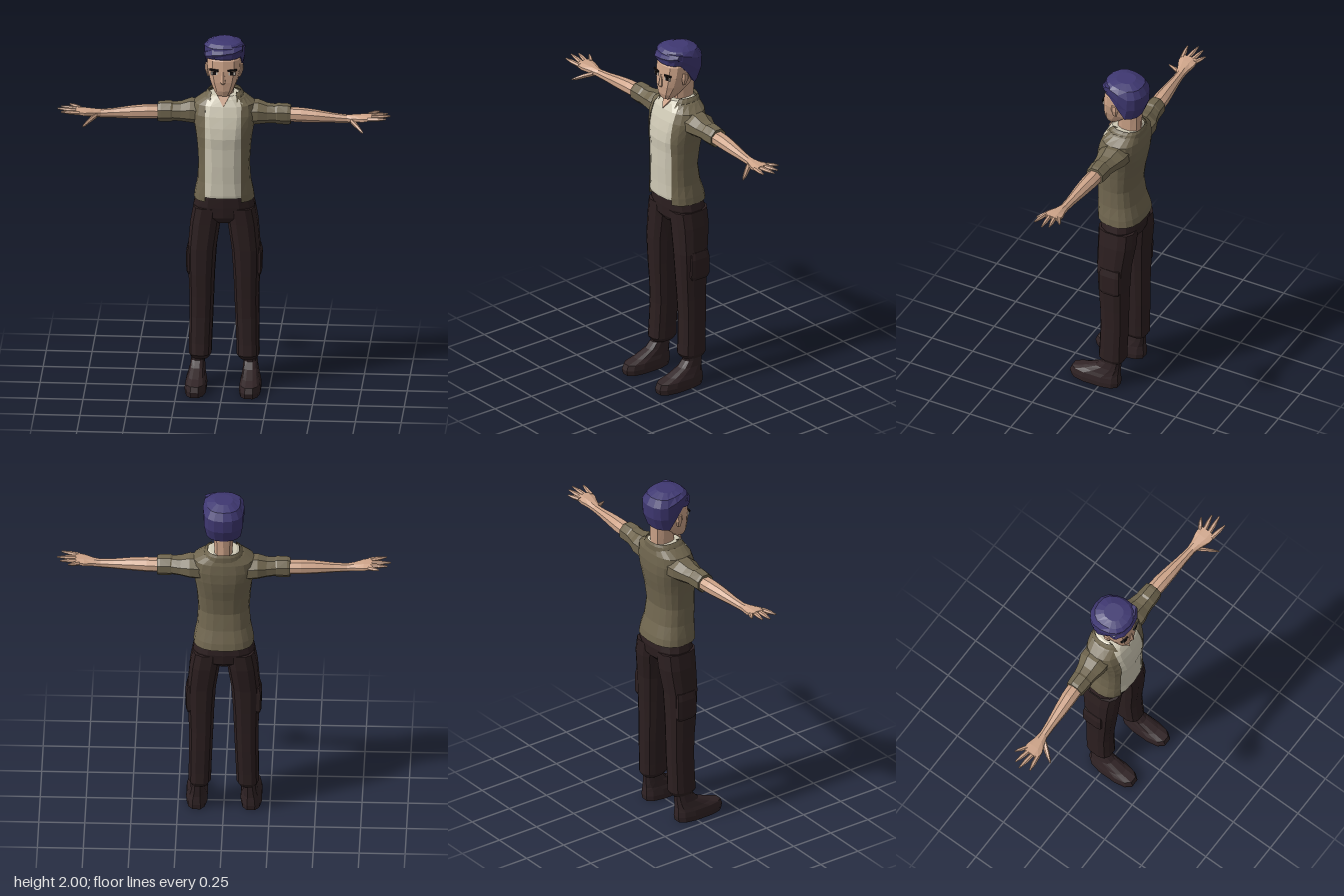
import * as THREE from 'three';

const paint = (name, color, side = THREE.FrontSide) => {
  const m = new THREE.MeshStandardMaterial({ color, side });
  m.name = name;
  return m;
};

// Rounded-box curve helper
const pw = (v, p) => Math.sign(v) * Math.abs(v) ** p;

// Horizontal cross-section, starting at the front and turning towards +x
function ringY([y, x0, x1, zf, zb], n = 12, p = 0.8, off = 0) {
  return Array.from({ length: n }, (_, i) => {
    const a = ((i + off) / n) * Math.PI * 2;
    return new THREE.Vector3((x0 + x1) / 2 + ((x1 - x0) / 2) * pw(Math.sin(a), p), y,
      (zf + zb) / 2 + ((zf - zb) / 2) * pw(Math.cos(a), p));
  });
}

// Cross-section of a limb that runs along +x
function ringX([x, y, z, ry, rz], n = 8) {
  return Array.from({ length: n }, (_, i) => {
    const a = ((i + 0.5) / n) * Math.PI * 2;
    return new THREE.Vector3(x, y + ry * Math.cos(a), z + rz * Math.sin(a));
  });
}

// Skin a list of cross-sections; closed lofts also get end caps
function loft(rings, closed = true) {
  const n = rings[0].length, pts = rings.flat(), idx = [];
  for (let r = 0; r < rings.length - 1; r++) {
    for (let i = 0; i < (closed ? n : n - 1); i++) {
      const a = r * n + i, b = r * n + ((i + 1) % n);
      idx.push(a, b, b + n, a, b + n, a + n);
    }
  }
  if (closed) {
    for (const r of [0, rings.length - 1]) {
      const c = new THREE.Vector3();
      rings[r].forEach((v) => c.addScaledVector(v, 1 / n));
      const k = pts.push(c) - 1;
      for (let i = 0; i < n; i++) {
        const a = r * n + i, b = r * n + ((i + 1) % n);
        idx.push(k, ...(r ? [a, b] : [b, a]));
      }
    }
  }
  const g = new THREE.BufferGeometry().setFromPoints(pts);
  g.setIndex(idx);
  return g;
}

const loftY = (rows, n, p, off) => loft(rows.map((r) => ringY(r, n, p, off)));
const loftX = (rows, n) => loft(rows.map((r) => ringX(r, n)));
const wide = ([y, w, zf, zb]) => [y, -w, w, zf, zb];

// Cloth shell open at the front, with its edges folded inwards
function openShell(rows, gap, n = 16, p = 0.8) {
  return loft(rows.map(([y, w, zf, zb]) => {
    const start = Math.asin(Math.min(gap / w, 0.75) ** (1 / p));
    const cz = (zf + zb) / 2, rz = (zf - zb) / 2;
    const ring = Array.from({ length: n + 1 }, (_, i) => {
      const a = start + (i / n) * (Math.PI * 2 - 2 * start);
      return new THREE.Vector3(w * pw(Math.sin(a), p), y, cz + rz * pw(Math.cos(a), p));
    });
    const fold = (v) => new THREE.Vector3(v.x, y, v.z - 0.025);
    return [fold(ring[0]), ...ring, fold(ring[n])];
  }), false);
}

function mirrored(geo) {
  const g = geo.clone().scale(-1, 1, 1);
  g.setIndex(Array.from(g.index.array).reverse());
  return g;
}

export function createModel() {
  const skin = paint('skin', 0xcfa58a);
  const hair = paint('hair', 0x3f3872);
  const jacket = paint('jacket', 0x70664f, THREE.DoubleSide);
  const shirt = paint('shirt', 0xd0cab6);
  const trousers = paint('trousers', 0x2c1f20);
  const leather = paint('shoe leather', 0x302325);
  const black = paint('eye black', 0x120d0e);
  const white = paint('eye white', 0xcfc6bc);

  const model = new THREE.Group();
  model.name = 'figure';
  const add = (name, geo, mat) => {
    const g = geo.index ? geo.toNonIndexed() : geo;
    g.computeVertexNormals();
    const m = new THREE.Mesh(g, mat);
    m.name = name;
    model.add(m);
  };
  const pair = (name, geo, mat) => {
    add(name + 'Left', geo, mat);
    add(name + 'Right', mirrored(geo), mat);
  };

  // Head and neck
  add('head', loftY([
    [1.7, 0.037, 0.045, -0.02], [1.73, 0.056, 0.055, -0.06], [1.78, 0.078, 0.058, -0.12],
    [1.84, 0.094, 0.055, -0.15], [1.9, 0.096, 0.048, -0.165], [1.96, 0.07, 0.01, -0.13],
  ].map(wide), 12, 0.7), skin);
  add('neck', loftY([
    [1.6, 0.062, 0, -0.155], [1.68, 0.05, -0.02, -0.152], [1.8, 0.056, -0.02, -0.155],
  ].map(wide), 10), skin);
  add('nose', loftY([
    [1.772, 0.008, 0.06, 0.04], [1.782, 0.016, 0.073, 0.04], [1.845, 0.008, 0.06, 0.04],
  ].map(wide), 6, 1), skin);
  pair('ear', loftY([
    [1.79, 0.08, 0.092, -0.025, -0.05], [1.83, 0.08, 0.106, -0.018, -0.062],
    [1.86, 0.08, 0.104, -0.022, -0.06],
  ], 6, 1), skin);

  // Eyes and brows as thin plates lying on the face
  const plate = (w, h, x, y, z, tilt = 0) =>
    new THREE.BoxGeometry(w, h, 0.008).rotateZ(tilt).rotateY(0.17).translate(x, y, z);
  pair('eyeWhite', plate(0.036, 0.016, 0.048, 1.833, 0.047), white);
  pair('iris', plate(0.02, 0.018, 0.047, 1.834, 0.049), black);
  pair('brow', plate(0.05, 0.01, 0.05, 1.852, 0.048, 0.08), black);

  // Hair cap whose lower edge drops behind the ears
  const edge = (c) => (c > 0.3 ? 1.912 : c > -0.05 ? 1.86 : 1.79);
  const hairRows = [
    [0, 0.1, 0.052, -0.16], [0.35, 0.112, 0.056, -0.188], [0.7, 0.113, 0.05, -0.19],
    [0.9, 0.092, 0.03, -0.165], [1, 0.05, -0.01, -0.115],
  ];
  add('hair', loft(hairRows.map(([t, w, zf, zb]) => {
    const ring = ringY([0, -w, w, zf, zb], 16, 0.85);
    ring.forEach((v, i) => {
      const e = edge(Math.cos((i / 16) * Math.PI * 2));
      v.y = e + (1.998 - e) * t;
    });
    return ring;
  })), hair);
  add('fringe', loftX([
    [-0.1, 1.925, 0, 0.02, 0.025], [-0.06, 1.938, 0.022, 0.032, 0.034],
    [0, 1.945, 0.028, 0.034, 0.034], [0.06, 1.952, 0.018, 0.032, 0.034],
    [0.104, 1.965, 0, 0.018, 0.022],
  ], 6), hair);

  // Torso: shirt with an open jacket over it, rows are height, half width, front, back
  const body = [
    [1.09, 0.165, 0.075, -0.185], [1.13, 0.16, 0.077, -0.178], [1.2, 0.146, 0.077, -0.156],
    [1.3, 0.14, 0.08, -0.142], [1.4, 0.147, 0.08, -0.155], [1.46, 0.154, 0.085, -0.168],
    [1.52, 0.165, 0.077, -0.178], [1.58, 0.176, 0.062, -0.18], [1.635, 0.165, 0.042, -0.175],
    [1.67, 0.115, 0.022, -0.165], [1.685, 0.085, 0.008, -0.158],
  ];
  add('jacket', openShell(body, 0.098), jacket);
  add('shirt', loftY(body.map(([y, w, zf, zb]) =>
    wide([Math.max(y, 1.115), w - 0.012, zf, zb + 0.012])), 16), shirt);
  add('collar', openShell([
    [1.655, 0.118, 0.032, -0.17], [1.685, 0.1, 0.018, -0.17], [1.7, 0.088, 0.0, -0.163],
  ], 0.07), jacket);
  const vee = new THREE.Shape([[-0.034, 0.034], [0, -0.03], [0.034, 0.034]]
    .map(([x, y]) => new THREE.Vector2(x, y)));
  add('neckOpening', new THREE.ExtrudeGeometry(vee, { depth: 0.008, bevelEnabled: false })
    .rotateX(-0.52).translate(0, 1.66, 0.025), skin);

  // Arms: rows are x, centre height, centre depth, half height, half depth
  pair('sleeve', loftX([
    [0.12, 1.57, -0.07, 0.07, 0.085], [0.185, 1.575, -0.07, 0.066, 0.085],
    [0.235, 1.57, -0.065, 0.054, 0.068], [0.3, 1.57, -0.06, 0.05, 0.056],
  ]), jacket);
  pair('sleeveCuff', loftX([
    [0.275, 1.57, -0.06, 0.05, 0.055], [0.29, 1.57, -0.06, 0.058, 0.06],
    [0.345, 1.568, -0.06, 0.058, 0.056], [0.362, 1.567, -0.06, 0.054, 0.053],
  ]), jacket);
  pair('forearm', loftX([
    [0.33, 1.567, -0.06, 0.038, 0.045], [0.42, 1.566, -0.056, 0.04, 0.044],
    [0.5, 1.563, -0.05, 0.036, 0.038], [0.6, 1.558, -0.043, 0.027, 0.028],
    [0.67, 1.556, -0.038, 0.023, 0.025], [0.71, 1.56, -0.033, 0.022, 0.034],
    [0.76, 1.566, -0.028, 0.02, 0.052], [0.805, 1.574, -0.026, 0.013, 0.054],
  ]), skin);

  // Fingers: knuckle depth, tip x, tip depth
  [['little', -0.066, 0.845, -0.1], ['ring', -0.042, 0.89, -0.062],
    ['middle', -0.014, 0.908, -0.025], ['index', 0.012, 0.885, 0.03],
  ].forEach(([name, z0, x1, z1]) => {
    const x0 = 0.785;
    const at = (t, r) => [x0 + (x1 - x0) * t, 1.573 + 0.009 * t, z0 + (z1 - z0) * t, r, r * 1.15];
    pair(name + 'Finger', loftX([at(0, 0.012), at(0.55, 0.011), at(1, 0.004)], 6), skin);
  });
  pair('thumb', loftX([
    [0.69, 1.553, -0.02, 0.015, 0.02], [0.725, 1.538, 0.022, 0.015, 0.022],
    [0.75, 1.524, 0.055, 0.011, 0.016], [0.765, 1.517, 0.078, 0.005, 0.006],
  ], 6), skin);

  // Trousers: rows are height, inner x, outer x, front, back
  add('hips', loftY([
    [0.955, 0.05, 0.02, -0.13], [0.99, 0.15, 0.044, -0.165], [1.05, 0.17, 0.05, -0.172],
    [1.1, 0.157, 0.052, -0.165], [1.14, 0.14, 0.05, -0.15],
  ].map(wide), 14), trousers);
  pair('trouserLeg', loftY([
    [0.16, 0.083, 0.18, 0.008, -0.115], [0.185, 0.068, 0.193, 0.027, -0.13],
    [0.25, 0.066, 0.192, 0.022, -0.13], [0.4, 0.06, 0.19, 0.017, -0.135],
    [0.52, 0.055, 0.19, 0.022, -0.136], [0.65, 0.05, 0.195, 0.032, -0.14],
    [0.8, 0.04, 0.198, 0.04, -0.147], [0.95, 0.018, 0.186, 0.043, -0.168],
    [1.04, 0.004, 0.17, 0.046, -0.168],
  ], 12, 0.75, 0.5), trousers);
  pair('cargoPocket', loftY([
    [0.645, 0.17, 0.2, -0.01, -0.115], [0.665, 0.17, 0.206, 0, -0.125],
    [0.77, 0.17, 0.208, 0, -0.125], [0.81, 0.17, 0.198, -0.005, -0.12],
  ], 8, 0.5, 0.5), trousers);

  // Shoes, from sole to ankle
  pair('shoe', loftY([
    [0, 0.09, 0.206, 0.19, -0.1], [0.03, 0.088, 0.208, 0.197, -0.105],
    [0.06, 0.092, 0.204, 0.185, -0.103], [0.08, 0.098, 0.196, 0.12, -0.1],
    [0.115, 0.103, 0.186, 0.04, -0.102], [0.15, 0.105, 0.181, 0.008, -0.104],
    [0.19, 0.107, 0.179, 0.004, -0.102],
  ], 12, 0.75, 0.5), leather);

  return model;
}
